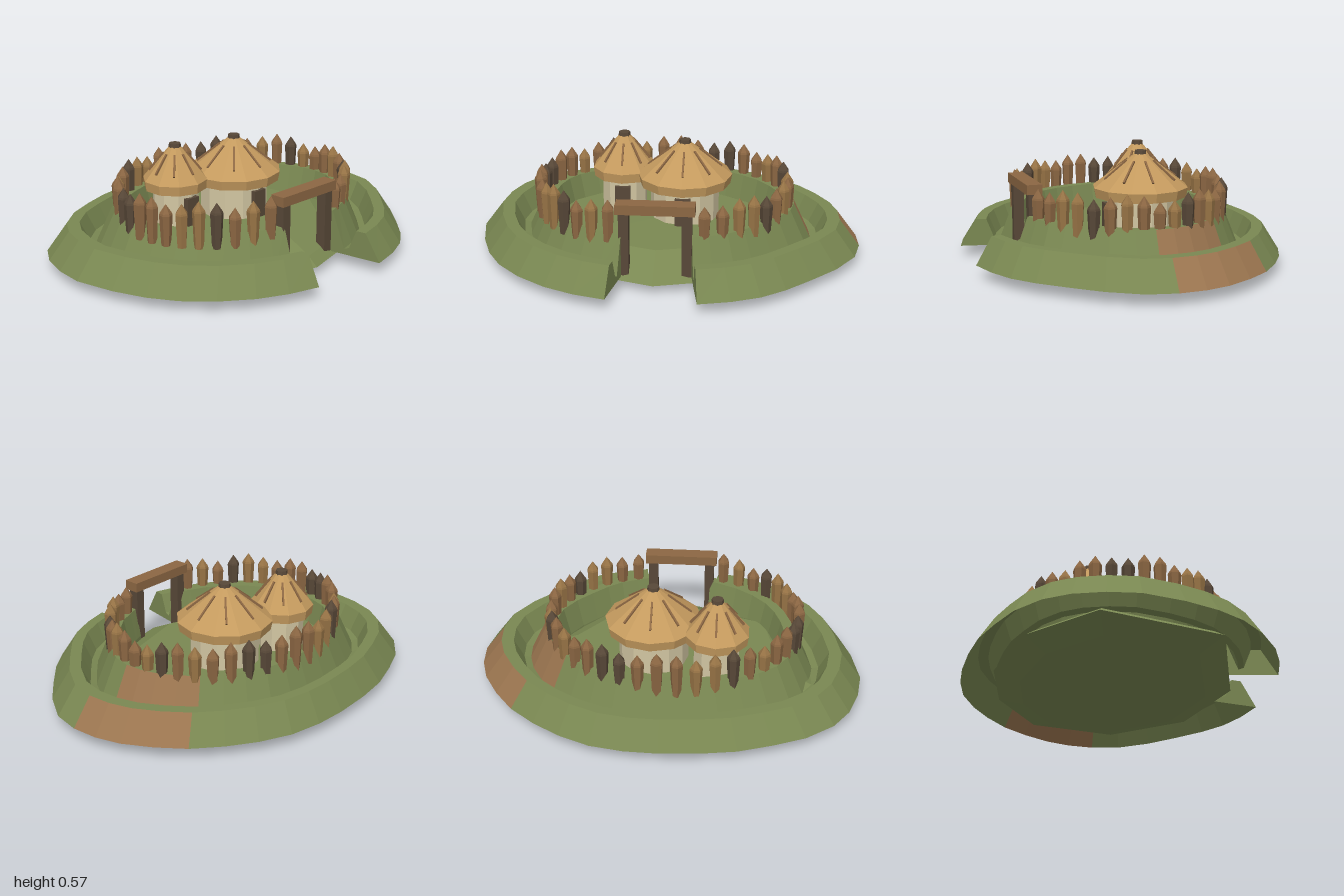
import * as THREE from 'three';

const mat = (name, color, side = THREE.FrontSide) =>
  new THREE.MeshStandardMaterial({ name, color, side, flatShading: true });

// Plan of the outer bank, from the right of the gate round the back to its left
const BANK_PLAN = [
  [0.2, 0.8], [0.36, 0.76], [0.5, 0.7], [0.62, 0.61], [0.75, 0.48], [0.87, 0.35], [0.97, 0.19], [1, 0.04],
  [0.99, -0.1], [0.95, -0.23], [0.87, -0.37], [0.77, -0.5], [0.64, -0.61], [0.5, -0.7], [0.34, -0.77],
  [0.17, -0.8], [0, -0.805], [-0.2, -0.79], [-0.38, -0.76], [-0.55, -0.7], [-0.71, -0.63], [-0.85, -0.52],
  [-0.93, -0.4], [-0.98, -0.25], [-1, -0.09], [-0.96, 0.12], [-0.9, 0.29], [-0.82, 0.43], [-0.7, 0.56],
  [-0.55, 0.67], [-0.4, 0.74], [-0.24, 0.785],
];
// Section: outer bank, ditch, inner bank, drop to the yard (scale of plan, height)
const BANK_SECTION = [
  [1, 0.06], [0.895, 0.2], [0.83, 0.2], [0.78, 0.1], [0.745, 0.09],
  [0.655, 0.28], [0.6, 0.28], [0.565, 0.13], [0.565, 0.06],
];
const SLAB_PLAN = [
  [-0.03, 0.59], [0.45, 0.46], [0.73, 0.1], [0.66, -0.35], [0.33, -0.58],
  [-0.05, -0.65], [-0.5, -0.55], [-0.83, -0.25], [-0.68, 0.38],
];
const SLAB_SECTION = [[0, 0], [0.78, 0], [1, 0.045], [0.91, 0.09], [0.7, 0.155], [0, 0.16]];

// Builds faces between columns of points; isSecond picks the second material
function loft(columns, closed, isSecond = () => false, caps = []) {
  const lists = [[], []];
  const n = columns.length;
  for (let i = 0; i < (closed ? n : n - 1); i++) {
    const p = columns[i], q = columns[(i + 1) % n];
    for (let k = 0; k < p.length - 1; k++) {
      lists[isSecond(p[k], q[k], k) ? 1 : 0].push(p[k], q[k], q[k + 1], p[k], q[k + 1], p[k + 1]);
    }
  }
  lists[0].push(...caps);
  const geo = new THREE.BufferGeometry().setFromPoints([...lists[0], ...lists[1]]);
  geo.addGroup(0, lists[0].length, 0);
  geo.addGroup(lists[0].length, lists[1].length, 1);
  geo.computeVertexNormals();
  return geo;
}

export function createModel() {
  const root = new THREE.Group();
  root.name = 'hillFort';

  const grass = mat('grass', 0x7a8852, THREE.DoubleSide);
  const earth = mat('bareEarth', 0x9c7650, THREE.DoubleSide);
  const thatch = mat('thatch', 0xc49a5e);
  const daub = mat('daub', 0xd2c6a2);
  const wood = mat('wood', 0x8c6743);
  const paleWood = mat('paleWood', 0x987446);
  const darkWood = mat('darkWood', 0x584838);

  const add = (parent, name, geo, material, x = 0, y = 0, z = 0) => {
    const mesh = new THREE.Mesh(geo, material);
    mesh.name = name;
    mesh.position.set(x, y, z);
    parent.add(mesh);
    return mesh;
  };

  // Ground slab
  const cx = -0.03, cz = -0.03;
  const slab = SLAB_PLAN.map(([x, z]) => SLAB_SECTION.map(([s, y]) =>
    new THREE.Vector3(cx + (x - cx) * s, y, cz + (z - cz) * s)));
  add(root, 'groundSlab', loft(slab, true), [grass, earth]);

  // Double bank with ditch, capped on both sides of the gate
  const last = BANK_PLAN.length - 1;
  const bank = BANK_PLAN.map(([x, z], i) => BANK_SECTION.map(([s, y]) => {
    const sx = i === 0 || i === last ? 0.4 + 0.6 * s : s;
    return new THREE.Vector3(x * sx, y, z * s);
  }));
  const section = BANK_SECTION.map(([s, y]) => new THREE.Vector2(s, y));
  const caps = [];
  for (const tri of THREE.ShapeUtils.triangulateShape(section, [])) {
    for (const col of [bank[0], bank[last]]) caps.push(...tri.map((j) => col[j]));
  }
  const worn = (p, q, k) => {
    const s = BANK_SECTION[k][0];
    const x = (p.x + q.x) / 2 / s, z = (p.z + q.z) / 2 / s;
    return (k === 0 || k === 4) && x > 0.7 && z < 0.06 && z > -0.5;
  };
  add(root, 'banksAndDitch', loft(bank, false, worn, caps), [grass, earth]);

  // Palisade of pointed stakes
  const palisade = new THREE.Group();
  palisade.name = 'palisade';
  root.add(palisade);
  const COUNT = 42;
  const tones = [wood, paleWood, wood, darkWood, paleWood, wood, wood, darkWood, paleWood];
  for (let i = 0; i < COUNT; i++) {
    const t = (i / COUNT) * Math.PI * 2;
    const x = -0.02 + 0.645 * Math.cos(t), z = -0.005 + 0.525 * Math.sin(t);
    if (z > 0.4 && x > -0.22 && x < 0.19) continue;
    const h = 0.2 + 0.04 * Math.abs(Math.sin(i * 2.3));
    const profile = [[0, 0], [0.024, 0], [0.033, h - 0.055], [0.03, h - 0.045], [0, h]];
    const stake = add(palisade, 'stake',
      new THREE.LatheGeometry(profile.map(([r, y]) => new THREE.Vector2(r, y)), 6),
      tones[(i * 5 + (i >> 2)) % tones.length], x, 0.21, z);
    stake.rotation.y = i * 1.7;
  }

  // Gate
  const gate = new THREE.Group();
  gate.name = 'gate';
  root.add(gate);
  for (const x of [-0.178, 0.132]) {
    add(gate, 'gatePost', new THREE.BoxGeometry(0.05, 0.33, 0.055), darkWood, x, 0.23, 0.49);
  }
  add(gate, 'gateLintel', new THREE.BoxGeometry(0.39, 0.05, 0.08), wood, -0.023, 0.415, 0.49);

  // Round huts with thatched roofs
  const addHut = (name, x, z, roofR, wallR, sides) => {
    const hut = new THREE.Group();
    hut.name = name;
    hut.position.set(x, 0, z);
    root.add(hut);
    const eave = 0.385, peak = 0.555, topR = 0.03;
    add(hut, 'wall', new THREE.CylinderGeometry(wallR, wallR, 0.21, sides), daub, 0, 0.25, 0);
    add(hut, 'eave', new THREE.CylinderGeometry(roofR, roofR * 0.96, 0.05, sides), thatch, 0, eave - 0.025, 0);
    add(hut, 'roof', new THREE.CylinderGeometry(topR, roofR, peak - eave, sides), thatch, 0, (peak + eave) / 2, 0);
    add(hut, 'roofCap', new THREE.CylinderGeometry(0.03, 0.033, 0.025, 8), darkWood, 0, 0.56, 0);
    add(hut, 'door', new THREE.BoxGeometry(0.08, 0.15, 0.03), darkWood, 0, 0.23, wallR);
    // Poles lying on the thatch
    const run = roofR - topR, drop = peak - eave;
    for (let i = 0; i < 8; i++) {
      const spoke = new THREE.Group();
      spoke.name = 'roofPole';
      spoke.rotation.y = (i * Math.PI) / 4;
      hut.add(spoke);
      const pole = add(spoke, 'pole', new THREE.BoxGeometry(Math.hypot(run, drop) * 0.55, 0.012, 0.01),
        wood, topR + run * 0.47, peak - drop * 0.47, 0);
      pole.rotation.z = -Math.atan2(drop, run);
    }
  };
  addHut('largeHut', 0.08, -0.1, 0.25, 0.18, 12);
  addHut('smallHut', -0.25, -0.2, 0.17, 0.12, 10);

  return root;
}
